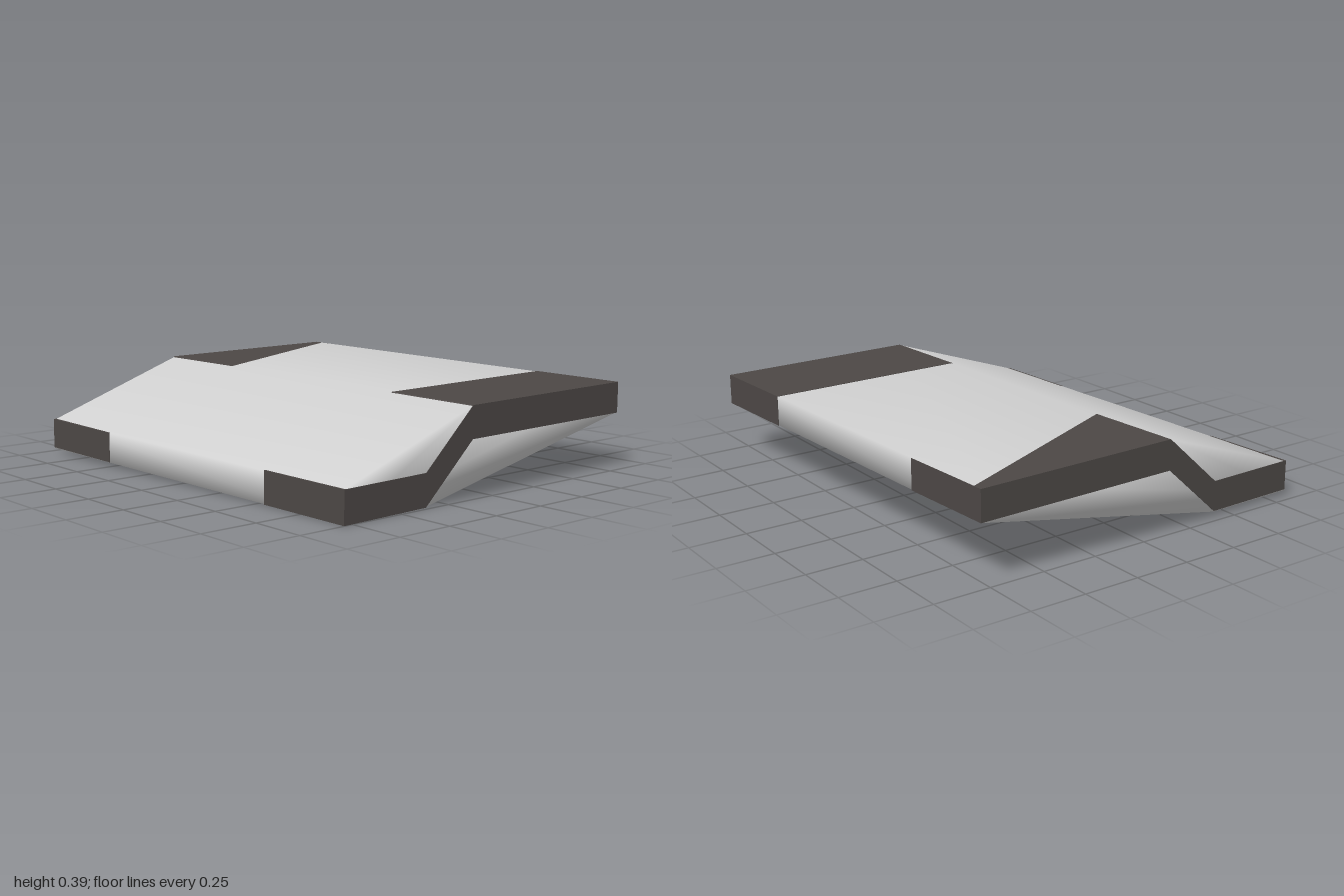
import * as THREE from 'three';

const W = 0.815;      // half width (x)
const L = 0.975;      // half length (z)
const T = 0.132;      // plate thickness
const TOP = 0.366;    // top of the raised flat
const BEND_LOW = -0.387, BEND_HIGH = -0.125;
const INNER = 0.527;  // inner end of the end bars

// Smooth convex body: profile swept along z, with shared corners
function bodyGeometry() {
  const profile = [
    [-W, 0], [BEND_LOW, 0], [W, TOP - T], [W, TOP], [BEND_HIGH, TOP], [-W, T],
  ];
  const n = profile.length;
  const pos = [], idx = [];
  for (const z of [L, -L]) for (const [x, y] of profile) pos.push(x, y, z);
  for (let i = 0; i < n; i++) {
    const j = (i + 1) % n;
    idx.push(i, i + n, j, j, i + n, j + n);
  }
  for (let i = 1; i < n - 1; i++) {
    idx.push(0, i, i + 1);
    idx.push(n, n + i + 1, n + i);
  }
  const g = new THREE.BufferGeometry();
  g.setAttribute('position', new THREE.Float32BufferAttribute(pos, 3));
  g.setIndex(idx);
  g.computeVertexNormals();
  return g;
}

// Cranked end bar; e lets its flats stand just proud of the body
function barGeometry(e) {
  const w = W + 0.002;
  const s = new THREE.Shape([
    [-w, -e], [BEND_LOW, -e], [BEND_HIGH, TOP - T - e], [w, TOP - T - e],
    [w, TOP + e], [BEND_HIGH, TOP + e], [BEND_LOW, T + e], [-w, T + e],
  ].map(([x, y]) => new THREE.Vector2(x, y)));
  return new THREE.ExtrudeGeometry(s, { depth: L + 0.002 - INNER, bevelEnabled: false });
}

export function createModel() {
  const light = new THREE.MeshStandardMaterial({ color: 0xd0d0d0 });
  light.name = 'lightGrey';
  const dark = new THREE.MeshStandardMaterial({ color: 0x4c4745 });
  dark.name = 'darkGrey';

  const model = new THREE.Group();
  model.name = 'crankedPlate';
  const add = (name, geometry, material) => {
    const mesh = new THREE.Mesh(geometry, material);
    mesh.name = name;
    model.add(mesh);
  };

  add('body', bodyGeometry(), light);
  add('frontBar', barGeometry(0.002).translate(0, 0, INNER), dark);

  // Back bar leans slightly, so its top sinks into the body along a diagonal
  const back = barGeometry(0).translate(0, 0, -L - 0.002);
  const p = back.attributes.position;
  for (let i = 0; i < p.count; i++) {
    const f = 0.4 * (p.getX(i) - BEND_HIGH) + 0.925 * (p.getZ(i) + INNER);
    p.setY(i, p.getY(i) - 0.006 * f);
  }
  back.computeVertexNormals();
  add('backBar', back, dark);

  // Slight skew of the whole plate
  model.rotation.set(0.01, 0.0276, 0.004);
  model.position.y = 0.015;
  const root = new THREE.Group();
  root.name = 'plate';
  root.add(model);
  return root;
}
